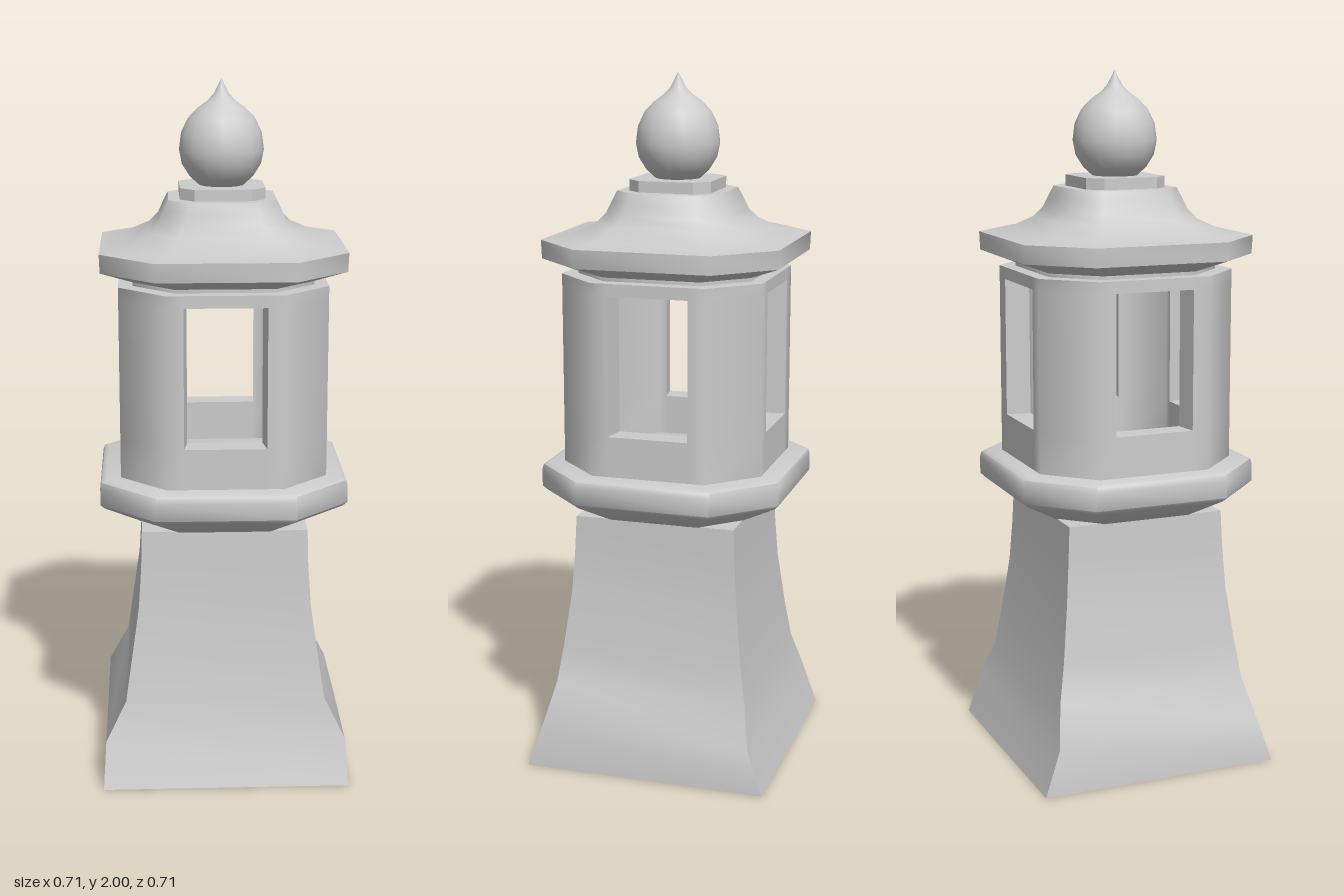
import * as THREE from 'three';
import { toCreasedNormals } from 'three/addons/utils/BufferGeometryUtils.js';

// Turns a list of quads (corners counter-clockwise from outside) into a geometry
function fromQuads(quads, crease) {
  const pos = [];
  for (const [a, b, c, d] of quads) pos.push(...a, ...b, ...c, ...a, ...c, ...d);
  const geo = new THREE.BufferGeometry();
  geo.setAttribute('position', new THREE.Float32BufferAttribute(pos, 3));
  return toCreasedNormals(geo, crease);
}

// Horizontal rings: half-width w, half-length of the straight side f, height y
const octagon = (w, f, y) => [
  [w, y, -f], [w, y, f], [f, y, w], [-f, y, w], [-w, y, f], [-w, y, -f], [-f, y, -w], [f, y, -w],
];
const rectangle = (w, d, y) => [[w, y, d], [-w, y, d], [-w, y, -d], [w, y, -d]];

// Skins rings from bottom to top and closes both ends
function loft(rings, crease = 0.87) {
  const quads = [];
  const n = rings[0].length;
  const first = rings[0], last = rings[rings.length - 1];
  for (let i = 0; i < n; i++) {
    const j = (i + 1) % n;
    for (let k = 0; k < rings.length - 1; k++) {
      quads.push([rings[k][i], rings[k + 1][i], rings[k + 1][j], rings[k][j]]);
    }
  }
  for (let i = 1; i < n - 1; i += 2) {
    const j = i + 1, k = (i + 2) % n;
    quads.push([first[0], first[i], first[j], first[k]]);
    quads.push([last[0], last[k], last[j], last[i]]);
  }
  return fromQuads(quads, crease);
}

// Hollow eight-sided wall with a window in each of the four main sides
function chamberGeometry() {
  const w = 0.295, f = 0.165, wi = 0.225, fi = 0.13;   // outer and inner octagon
  const ho = 0.116, hi = 0.106;                        // window half-width outside, inside
  const ys = [0.88, 1.005, 1.405, 1.44];
  const quads = [];
  for (let s = 0; s < 4; s++) {
    const c = Math.round(Math.cos(s * Math.PI / 2)), n = Math.round(Math.sin(s * Math.PI / 2));
    const add = (...pts) => quads.push(pts.map(([x, y, z]) => [c * x + n * z, y, c * z - n * x]));
    const xo = [-f, -ho, ho, f], xi = [-fi, -hi, hi, fi];
    for (let r = 0; r < 3; r++) {
      const y0 = ys[r], y1 = ys[r + 1];
      for (let k = 0; k < 3; k++) {
        if (r === 1 && k === 1) continue;              // window opening
        add([xo[k], y0, w], [xo[k + 1], y0, w], [xo[k + 1], y1, w], [xo[k], y1, w]);
        add([xi[k + 1], y0, wi], [xi[k], y0, wi], [xi[k], y1, wi], [xi[k + 1], y1, wi]);
      }
      // corner panel
      add([f, y0, w], [w, y0, f], [w, y1, f], [f, y1, w]);
      add([wi, y0, fi], [fi, y0, wi], [fi, y1, wi], [wi, y1, fi]);
    }
    // window reveals
    const frame = (h, z) => [[-h, ys[1], z], [h, ys[1], z], [h, ys[2], z], [-h, ys[2], z]];
    const o = frame(ho, w), p = frame(hi, wi);
    for (let i = 0; i < 4; i++) {
      const j = (i + 1) % 4;
      add(o[i], o[j], p[j], p[i]);
    }
    // top rim
    const t = ys[3];
    add([-f, t, w], [f, t, w], [fi, t, wi], [-fi, t, wi]);
    add([f, t, w], [w, t, f], [wi, t, fi], [fi, t, wi]);
  }
  return fromQuads(quads, 0.87);
}

export function createModel() {
  const model = new THREE.Group();
  model.name = 'stoneLantern';
  const stone = new THREE.MeshStandardMaterial({ color: 0xcccccc });
  stone.name = 'pale grey stone';
  const add = (name, geo) => {
    const mesh = new THREE.Mesh(geo, stone);
    mesh.name = name;
    model.add(mesh);
  };

  // Flared square pedestal: half-width, half-depth, height
  add('pedestal', loft([
    [0.355, 0.355, 0], [0.347, 0.31, 0.13], [0.288, 0.285, 0.245], [0.271, 0.267, 0.36],
    [0.248, 0.248, 0.52], [0.24, 0.24, 0.64], [0.237, 0.235, 0.745],
  ].map((r) => rectangle(...r))));

  // Eight-sided platform with a rounded rim
  add('platform', loft([
    [0.235, 0.13, 0.742], [0.342, 0.19, 0.803], [0.354, 0.197, 0.815],
    [0.354, 0.197, 0.866], [0.35, 0.195, 0.881], [0.336, 0.187, 0.888],
  ].map((r) => octagon(...r))));

  add('lightChamber', chamberGeometry());

  // Roof: sloping underside, upright rim, swept top
  add('roof', loft([
    [0.255, 0.14, 1.435], [0.255, 0.14, 1.45], [0.344, 0.193, 1.485], [0.346, 0.195, 1.538],
    [0.275, 0.16, 1.548], [0.205, 0.123, 1.583], [0.18, 0.11, 1.61], [0.165, 0.1, 1.645],
    [0.152, 0.093, 1.672],
  ].map((r) => octagon(...r))));

  add('finialBase', loft([octagon(0.12, 0.08, 1.668), octagon(0.12, 0.08, 1.704)], 0.5));

  // Onion-shaped finial
  const profile = [
    [0, 1.7], [0.062, 1.702], [0.09, 1.727], [0.112, 1.762], [0.12, 1.803], [0.114, 1.85],
    [0.095, 1.89], [0.068, 1.918], [0.04, 1.938], [0.022, 1.957], [0.01, 1.98], [0, 2],
  ].map(([x, y]) => new THREE.Vector2(x, y));
  add('finial', new THREE.LatheGeometry(profile, 16));

  return model;
}
